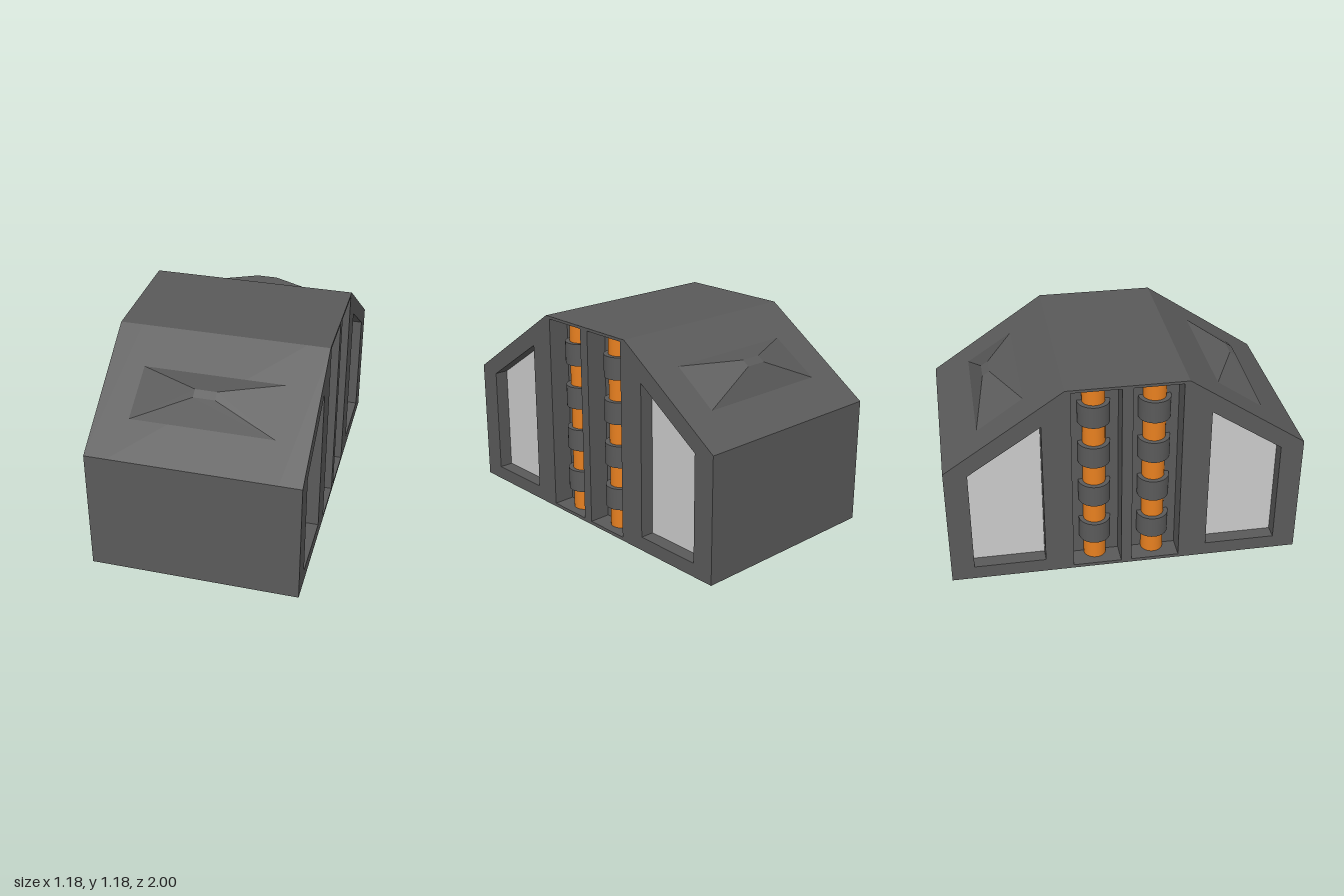
import * as THREE from 'three';
import { ConvexGeometry } from 'three/addons/geometries/ConvexGeometry.js';

const HALF_W = 0.588, SLOT_DEPTH = 0.125, WINDOW_DEPTH = 0.08;
const dark = new THREE.MeshStandardMaterial({ color: 0x5a5a5a });
const grey = new THREE.MeshStandardMaterial({ color: 0xcccccc });
const orange = new THREE.MeshStandardMaterial({ color: 0xe88020 });

// Outlines are lists of [z, y]
const BODY = [[-1, 0], [1, 0], [1, 0.725], [0.335, 1.176], [-0.335, 1.176], [-1, 0.725]];
const windowOutline = s => [[0.87, 0.08], [0.465, 0.08], [0.465, 0.97], [0.87, 0.7]].map(([z, y]) => [s * z, y]);
const slotOutline = s => [[0.03, 0.02], [0.305, 0.02], [0.305, 1.16], [0.03, 1.16]].map(([z, y]) => [s * z, y]);
const points = outline => outline.map(p => new THREE.Vector2(...p));

// Extrudes a [z, y] outline along x so that its outer face lies at x = outer
function slab(outline, outer, depth, holes = []) {
  const shape = new THREE.Shape(points(outline));
  shape.holes = holes.map(h => new THREE.Path(points(h)));
  const geo = new THREE.ExtrudeGeometry(shape, { depth, bevelEnabled: false });
  return geo.rotateY(-Math.PI / 2).translate(outer, 0, 0);
}

function add(parent, name, geometry, material) {
  const mesh = new THREE.Mesh(geometry, material);
  mesh.name = name;
  parent.add(mesh);
  return mesh;
}

// One side: pierced panel, window panes, pipes and their collars
function createSide() {
  const side = new THREE.Group();
  const holes = [1, -1].flatMap(s => [windowOutline(s), slotOutline(s)]);
  add(side, 'sidePanel', slab(BODY, HALF_W, SLOT_DEPTH, holes), dark);
  for (const s of [1, -1]) {
    add(side, 'windowPane', slab(windowOutline(s), HALF_W - WINDOW_DEPTH, SLOT_DEPTH - WINDOW_DEPTH), grey);
    const x = HALF_W - 0.115, z = s * 0.168;
    add(side, 'pipe', new THREE.CylinderGeometry(0.064, 0.064, 1.14, 32), orange).position.set(x, 0.59, z);
    for (let i = 0; i < 4; i++) {
      add(side, 'pipeCollar', new THREE.CylinderGeometry(0.09, 0.09, 0.128, 32), dark)
        .position.set(x, 0.208 + i * 0.257, z);
    }
  }
  return side;
}

// Tapered lump on the sloping roof
function createRoofLump() {
  const corners = [[0.4, 0.86, 0.8], [0.4, 1.037, 0.535], [0.06, 1.01, 0.735], [0.06, 1.037, 0.695]];
  const pts = corners.flatMap(([x, y, z]) => [new THREE.Vector3(x, y, z), new THREE.Vector3(-x, y, z)]);
  return new ConvexGeometry(pts);
}

export function createModel() {
  const model = new THREE.Group();
  model.name = 'pipeHousing';
  const coreHalf = HALF_W - SLOT_DEPTH;
  add(model, 'core', slab(BODY, coreHalf, 2 * coreHalf), dark);
  // Sides and roof lumps repeat after half a turn
  [['left', 'front'], ['right', 'back']].forEach(([sideName, lumpName], i) => {
    const side = createSide();
    side.name = sideName + 'Side';
    side.rotation.y = i * Math.PI;
    model.add(side);
    add(model, lumpName + 'RoofLump', createRoofLump(), dark).rotation.y = i * Math.PI;
  });
  return model;
}
